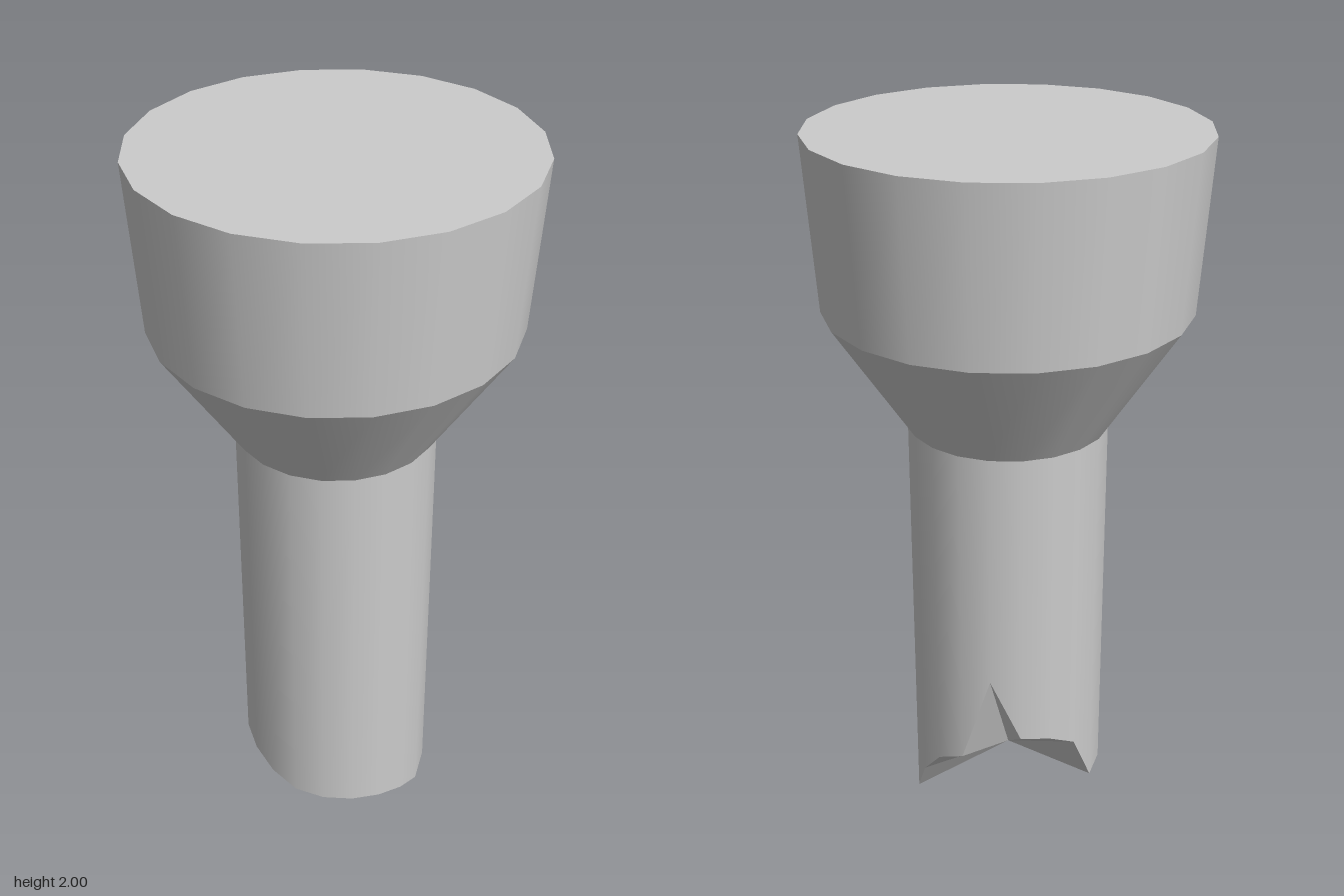
import * as THREE from 'three';

const SIDES = 20;
const SHAFT_R = 0.27;

// Height of the broken lower edge, one value per side, from +z towards +x
const BREAK = [
  0.03, 0, 0.025, 0.03, 0.15, 0.24, 0.28, 0.545, 0.36, 0.345,
  0.3, 0.14, 0.15, 0.155, 0.14, 0.11, 0.08, 0.07, 0.062, 0.05,
];
const BREAK_CENTRE = 0.165;

export function createModel() {
  const group = new THREE.Group();
  const material = new THREE.MeshStandardMaterial({ color: 0xcccccc });

  const add = (name, geometry) => {
    const mesh = new THREE.Mesh(geometry, material);
    mesh.name = name;
    group.add(mesh);
  };

  // Open ring between two heights
  const band = (rTop, rBottom, yTop, yBottom) =>
    new THREE.CylinderGeometry(rTop, rBottom, yTop - yBottom, SIDES, 1, true)
      .translate(0, (yTop + yBottom) / 2, 0);

  // Capital: flat top, drum and tapered neck
  add('capitalTop', new THREE.CircleGeometry(0.517, SIDES).rotateX(-Math.PI / 2).translate(0, 2, 0));
  add('capitalDrum', band(0.517, 0.486, 2, 1.542));
  add('capitalNeck', band(0.486, SHAFT_R, 1.542, 1.215));

  // Shaft: its lower ring follows the break
  const shaft = band(SHAFT_R, SHAFT_R, 1.215, 0);
  const pos = shaft.attributes.position;
  for (let i = 0; i <= SIDES; i++) pos.setY(SIDES + 1 + i, BREAK[i % SIDES]);
  add('shaft', shaft);

  // Broken end: faceted fan from the centre to the jagged edge
  const rim = (i) => {
    const a = (i / SIDES) * Math.PI * 2;
    return [Math.sin(a) * SHAFT_R, BREAK[i % SIDES], Math.cos(a) * SHAFT_R];
  };
  const points = [];
  for (let i = 0; i < SIDES; i++) points.push(0, BREAK_CENTRE, 0, ...rim(i + 1), ...rim(i));
  const fan = new THREE.BufferGeometry();
  fan.setAttribute('position', new THREE.Float32BufferAttribute(points, 3));
  fan.computeVertexNormals();
  add('brokenEnd', fan);

  return group;
}
